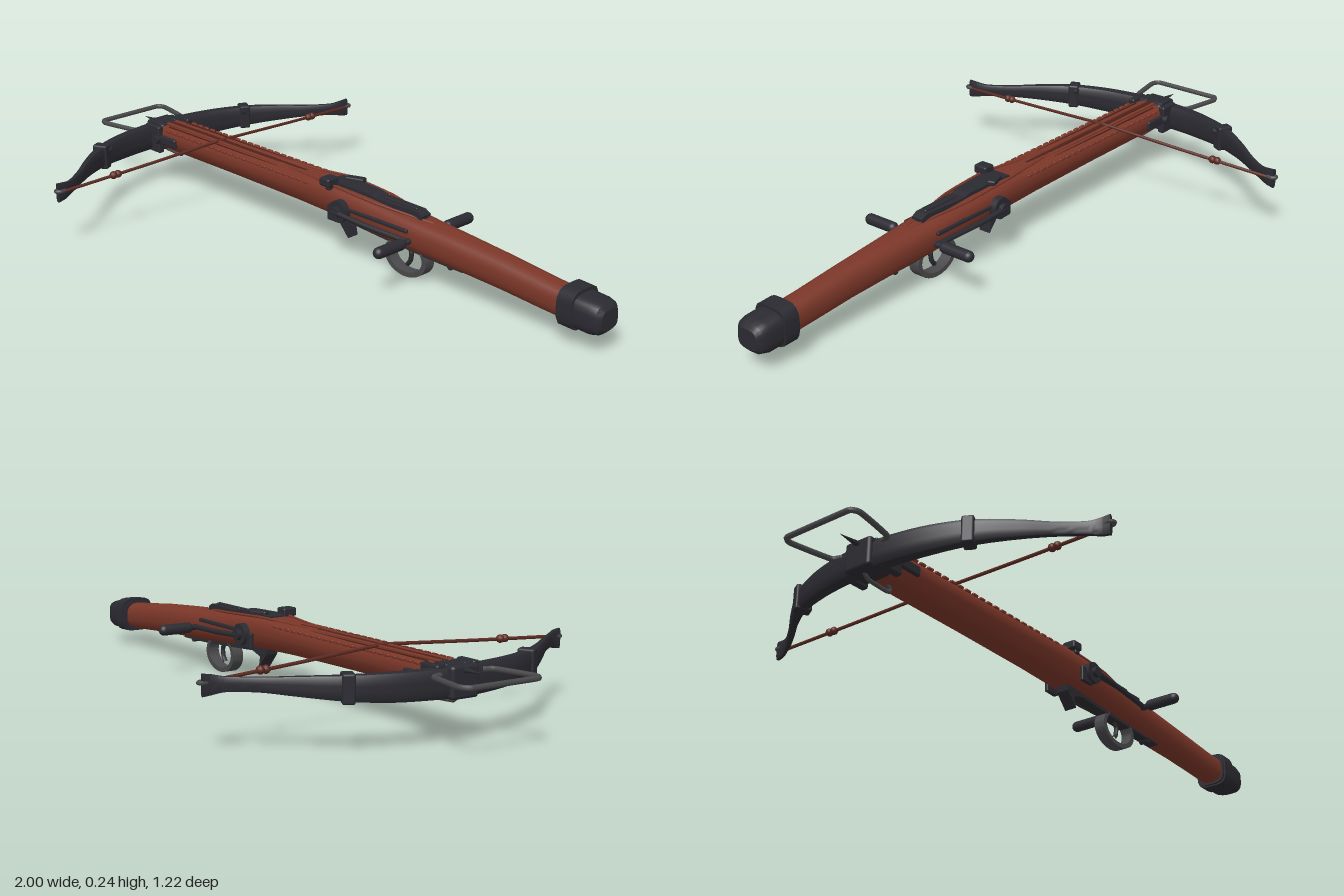
import * as THREE from 'three';
import { toCreasedNormals } from 'three/addons/utils/BufferGeometryUtils.js';
import { RoundedBoxGeometry } from 'three/addons/geometries/RoundedBoxGeometry.js';

const V = (x, y, z) => new THREE.Vector3(x, y, z);
const mat = (name, color) => new THREE.MeshStandardMaterial({ name, color });

// Unit superellipse outline, higher power = squarer
function outline(n, power) {
  return Array.from({ length: n }, (_, j) => {
    const a = (j + 0.5) / n * Math.PI * 2, c = Math.cos(a), s = Math.sin(a);
    const r = Math.pow(Math.abs(c) ** power + Math.abs(s) ** power, -1 / power);
    return [c * r, s * r];
  });
}

// Skin a list of equal-length rings and close both ends
function loft(rings, crease = 0.6) {
  const n = rings[0].length, pos = [], idx = [];
  rings.forEach(r => r.forEach(p => pos.push(p.x, p.y, p.z)));
  for (let i = 0; i < rings.length - 1; i++) for (let j = 0; j < n; j++) {
    const a = i * n + j, b = i * n + (j + 1) % n;
    idx.push(a, b, a + n, b, b + n, a + n);
  }
  [0, rings.length - 1].forEach((i, end) => {
    const c = rings[i].reduce((s, p) => s.add(p), V(0, 0, 0)).divideScalar(n);
    const k = pos.length / 3;
    pos.push(c.x, c.y, c.z);
    for (let j = 0; j < n; j++) {
      const a = i * n + j, b = i * n + (j + 1) % n;
      end ? idx.push(k, a, b) : idx.push(k, b, a);
    }
  });
  const g = new THREE.BufferGeometry();
  g.setAttribute('position', new THREE.Float32BufferAttribute(pos, 3));
  g.setIndex(idx);
  return toCreasedNormals(g, crease);
}

// Body along x from stations [x, bottom, top, halfWidth, power, underTaper]
const bodyX = stations => loft(stations.map(([x, lo, hi, w, power, taper]) =>
  outline(28, power).map(([u, v]) =>
    V(x, (lo + hi) / 2 + u * (hi - lo) / 2, v * w * (1 - taper * Math.max(0, -u))))));

// Side profile extruded across z, centred on z = 0
function sideProfile(points, depth) {
  const s = new THREE.Shape(points.map(p => new THREE.Vector2(...p)));
  return new THREE.ExtrudeGeometry(s, { depth, bevelEnabled: false }).translate(0, 0, -depth / 2);
}

const tube = (pts, r, closed = false, n = 60) => new THREE.TubeGeometry(
  new THREE.CatmullRomCurve3(pts.map(p => V(...p)), closed, 'catmullrom', 0.25), n, r, 8, closed);

export function createModel() {
  const group = new THREE.Group();
  const wood = mat('reddish wood', 0x7a3628);
  const groove = mat('dark wood', 0x4a2119);
  const metal = mat('blackened steel', 0x2a2a31);
  const iron = mat('worn iron', 0x48484b);
  const cord = mat('cord', 0x5c2a22);
  const add = (name, geo, m, x = 0, y = 0, z = 0) => {
    const mesh = new THREE.Mesh(geo, m);
    mesh.name = name;
    mesh.position.set(x, y, z);
    group.add(mesh);
    return mesh;
  };
  const box = (name, m, w, h, d, x, y, z, r = 0.006) =>
    add(name, new RoundedBoxGeometry(w, h, d, 2, r), m, x, y, z);
  const discZ = (name, m, r, len, x, y, z) =>
    add(name, new THREE.CylinderGeometry(r, r, len, 20).rotateX(Math.PI / 2), m, x, y, z);

  // Wooden stock
  add('stock', bodyX([
    [-0.80, 0.125, 0.200, 0.052, 5, 0.35], [-0.74, 0.123, 0.203, 0.058, 5, 0.35],
    [-0.40, 0.122, 0.204, 0.060, 5, 0.35], [-0.12, 0.119, 0.208, 0.061, 5, 0.32],
    [0.02, 0.114, 0.213, 0.062, 4, 0.25], [0.16, 0.105, 0.207, 0.061, 3.4, 0.15],
    [0.36, 0.090, 0.190, 0.056, 2.8, 0.08], [0.50, 0.082, 0.181, 0.050, 2.5, 0],
    [0.66, 0.073, 0.168, 0.045, 2.4, 0], [0.80, 0.063, 0.152, 0.043, 2.5, 0],
    [0.90, 0.058, 0.142, 0.043, 2.6, 0]]), wood);

  // Bolt groove and carved lines along the top
  box('boltGroove', groove, 0.76, 0.006, 0.012, -0.39, 0.205, 0, 0.002);
  for (const s of [1, -1]) {
    box('grooveRail', wood, 0.76, 0.008, 0.012, -0.39, 0.205, s * 0.016, 0.003);
    box('carvedLine', groove, 0.56, 0.005, 0.004, -0.46, 0.2035, s * 0.034, 0.001);
    for (let i = 0; i < 22; i++)
      box('edgeCarving', wood, 0.022, 0.008, 0.010, -0.72 + i * 0.031, 0.198, s * 0.055, 0.003);
    add('carvedWedge', tube([[-0.22, 0.207, s * 0.012], [-0.08, 0.210, s * 0.03],
      [0.03, 0.213, s * 0.045], [0.2, 0.203, s * 0.042], [0.4, 0.186, s * 0.006]], 0.004), wood);
  }

  // Butt cap with strap
  add('buttCap', bodyX([
    [0.865, 0.054, 0.150, 0.050, 3.5, 0], [0.90, 0.053, 0.149, 0.051, 3.5, 0],
    [0.965, 0.050, 0.144, 0.051, 3.5, 0], [0.988, 0.055, 0.138, 0.046, 3.5, 0],
    [1.0, 0.068, 0.125, 0.034, 3.5, 0]]), metal);
  add('buttStrap', bodyX([
    [0.872, 0.049, 0.160, 0.055, 4, 0], [0.920, 0.047, 0.157, 0.055, 4, 0]]), metal);

  // Bow: [z, x, thickness, bottom, top] for one limb, mirrored for the other
  const limb = [
    [0.1, -0.808, 0.048, 0.122, 0.200], [0.2, -0.788, 0.042, 0.125, 0.200],
    [0.3, -0.750, 0.035, 0.133, 0.199], [0.4, -0.684, 0.024, 0.145, 0.196],
    [0.48, -0.620, 0.018, 0.154, 0.192], [0.54, -0.578, 0.015, 0.154, 0.193],
    [0.575, -0.562, 0.014, 0.147, 0.200], [0.598, -0.558, 0.014, 0.144, 0.203]];
  const stations = [...limb.map(([z, ...r]) => [-z, ...r]).reverse(),
    [0, -0.815, 0.05, 0.12, 0.2], ...limb];
  const path = new THREE.CatmullRomCurve3(stations.map(([z, x, , lo, hi]) => V(x, (lo + hi) / 2, z)));
  const size = new THREE.CatmullRomCurve3(stations.map(([, , t, lo, hi]) => V(t / 2, (hi - lo) / 2, 0)));
  const bowRings = [];
  for (let i = 0; i <= 80; i++) {
    const p = path.getPoint(i / 80), h = size.getPoint(i / 80);
    const t = path.getTangent(i / 80).setY(0).normalize();
    const u = V(0, 1, 0).cross(t);
    bowRings.push(outline(16, 5).map(([a, b]) =>
      p.clone().addScaledVector(u, a * h.x).add(V(0, b * h.y, 0))));
  }
  add('bow', loft(bowRings), metal);
  for (const s of [1, -1]) {
    const collar = box('limbCollar', metal, 0.048, 0.078, 0.034, -0.752, 0.166, s * 0.297);
    collar.rotation.y = s * 0.48;
    discZ('collarRivet', metal, 0.01, 0.05, -0.74, 0.185, s * 0.297);
    add('limbTipCurl', tube([[-0.562, 0.18, s * 0.585], [-0.562, 0.18, s * 0.602],
      [-0.552, 0.18, s * 0.605], [-0.545, 0.18, s * 0.596], [-0.547, 0.18, s * 0.58]], 0.006, false, 20), iron);
    // String half with two knots
    add('bowString', tube([[-0.547, 0.178, s * 0.59], [-0.529, 0.192, s * 0.3], [-0.51, 0.209, 0]], 0.005), cord);
    for (const z of [0.395, 0.412])
      add('stringKnot', new THREE.SphereGeometry(0.012, 12, 8), cord, -0.535, 0.188, s * z);
  }

  // Fore clamp, stirrup and spike
  box('foreClamp', metal, 0.085, 0.088, 0.09, -0.807, 0.163, 0, 0.01);
  for (const s of [1, -1]) {
    box('clampStrap', metal, 0.12, 0.03, 0.014, -0.735, 0.165, s * 0.060);
    box('clampCheek', metal, 0.07, 0.09, 0.022, -0.785, 0.163, s * 0.06);
    discZ('clampBolt', metal, 0.014, 0.02, -0.76, 0.165, s * 0.073);
    box('clampTopBlock', metal, 0.05, 0.016, 0.03, -0.80, 0.202, s * 0.03, 0.004);
  }
  add('stirrup', tube([[-0.83, 0.185, 0.07], [-0.845, 0.185, 0.1], [-0.965, 0.185, 0.124],
    [-0.990, 0.185, 0.113], [-0.992, 0.185, 0.09], [-0.992, 0.185, -0.09], [-0.990, 0.185, -0.113],
    [-0.965, 0.185, -0.124], [-0.845, 0.185, -0.1], [-0.83, 0.185, -0.07]], 0.008, false, 90), iron);
  const spike = add('foreSpike', new THREE.ConeGeometry(0.022, 0.13, 8).rotateZ(Math.PI / 2), metal, -0.85, 0.193, 0);
  spike.scale.y = 0.6;
  add('underLoop', tube([[-0.82, 0.125, 0], [-0.80, 0.108, 0], [-0.73, 0.104, 0], [-0.72, 0.112, 0],
    [-0.73, 0.126, 0]], 0.006, false, 30), iron);

  // Lock plate on top, narrowing to the rear
  const plate = sideProfile([[0.0, 0.18], [0.36, 0.165], [0.365, 0.2], [0.345, 0.21], [0.19, 0.209],
    [0.17, 0.216], [0.06, 0.219], [0.0, 0.216]], 0.066);
  const p = plate.attributes.position;
  for (let i = 0; i < p.count; i++) p.setZ(i, p.getZ(i) * (1 - 1.2 * p.getX(i)));
  plate.computeVertexNormals();
  add('lockPlate', plate, metal);
  box('plateRidge', metal, 0.13, 0.012, 0.014, 0.27, 0.209, 0, 0.004);
  box('lockKnob', metal, 0.04, 0.026, 0.046, 0.022, 0.223, 0.046, 0.006);
  box('lockKnobNeck', metal, 0.02, 0.02, 0.04, 0.03, 0.21, 0.042, 0.004);
  const prong = box('stringCatch', metal, 0.06, 0.016, 0.026, 0.06, 0.219, -0.026, 0.005);
  prong.rotation.y = 0.35;

  // Cocking lever: pivots, arms and side handles
  for (const s of [1, -1]) {
    discZ('leverPivot', metal, 0.033, 0.022, 0.09, 0.155, s * 0.070);
    discZ('pivotBolt', metal, 0.016, 0.03, 0.09, 0.155, s * 0.079);
    box('pivotLug', metal, 0.05, 0.05, 0.012, 0.065, 0.14, s * 0.066, 0.004);
    add('leverArm', tube([[0.08, 0.155, s * 0.088], [0.2, 0.147, s * 0.085], [0.34, 0.141, s * 0.074],
      [0.37, 0.139, s * 0.072]], 0.008, false, 20), metal);
    add('leverSidePlate', new RoundedBoxGeometry(0.24, 0.012, 0.01, 2, 0.004), metal, 0.23, 0.163, s * 0.061);
    add('leverHandle', new THREE.CapsuleGeometry(0.017, 0.084, 6, 16).rotateX(Math.PI / 2), metal, 0.36, 0.139, s * 0.142);
    discZ('handleNeck', metal, 0.009, 0.03, 0.36, 0.139, s * 0.08);
  }

  // Hooked catch below the lock
  add('lowerHook', sideProfile([[0.03, 0.125], [0.035, 0.095], [0.075, 0.05], [0.068, 0.085],
    [0.11, 0.098], [0.12, 0.12]], 0.04), metal);

  // Trigger guard, base strip and trigger
  const guard = new THREE.Shape().absellipse(0.302, 0.058, 0.08, 0.058, 0, Math.PI * 2);
  guard.holes.push(new THREE.Path().absellipse(0.302, 0.060, 0.065, 0.046, 0, Math.PI * 2, true));
  add('triggerGuard', toCreasedNormals(new THREE.ExtrudeGeometry(guard,
    { depth: 0.036, bevelEnabled: false, curveSegments: 24 }).translate(0, 0, -0.018), 0.6), iron);
  add('guardStrip', sideProfile([[0.1, 0.098], [0.22, 0.09], [0.4, 0.08], [0.52, 0.078], [0.52, 0.09],
    [0.4, 0.1], [0.1, 0.115]], 0.036), metal);
  discZ('stripScrew', metal, 0.011, 0.03, 0.47, 0.081, 0);
  add('trigger', tube([[0.30, 0.095, 0], [0.312, 0.07, 0], [0.308, 0.045, 0], [0.296, 0.03, 0]], 0.007, false, 20), metal);

  return group;
}
